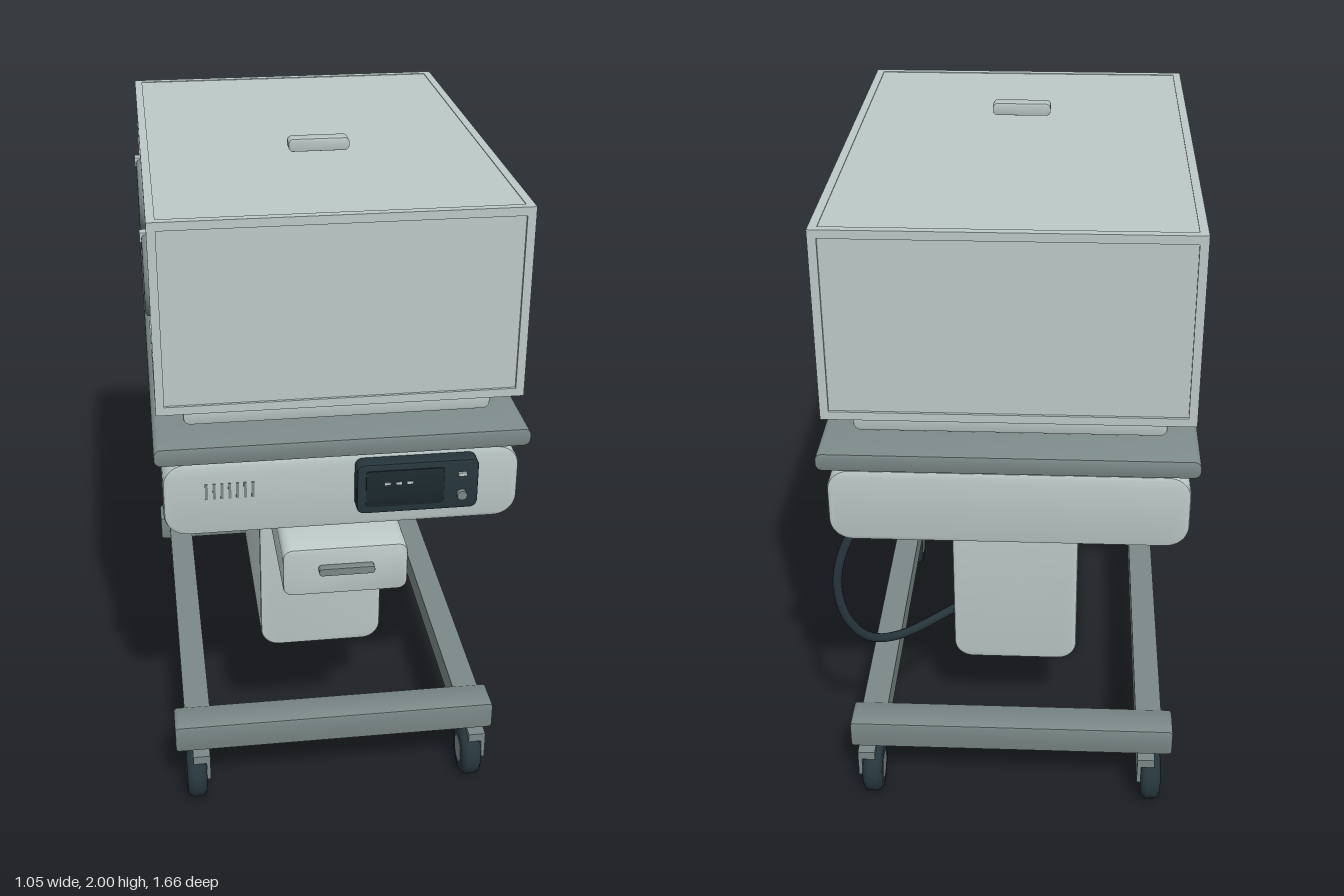
import * as THREE from 'three';
import { toCreasedNormals } from 'three/addons/utils/BufferGeometryUtils.js';

const mat = (name, color) => {
  const m = new THREE.MeshStandardMaterial({ color });
  m.name = name;
  return m;
};

export function createModel() {
  const root = new THREE.Group();
  root.name = 'incubator';
  const shell = mat('pale grey shell', 0xbcc9c7);
  const grey = mat('mid grey metal', 0x7b8988);
  const dark = mat('dark slate', 0x26363c);
  const screenDark = mat('screen black', 0x1c292e);

  const add = (name, geo, material, x = 0, y = 0, z = 0, parent = root) => {
    const mesh = new THREE.Mesh(geo, material);
    mesh.name = name;
    mesh.position.set(x, y, z);
    parent.add(mesh);
    return mesh;
  };

  // Box given by its min and max corners
  const box = (name, material, x0, x1, y0, y1, z0, z1, parent = root) =>
    add(name, new THREE.BoxGeometry(x1 - x0, y1 - y0, z1 - z0), material,
      (x0 + x1) / 2, (y0 + y1) / 2, (z0 + z1) / 2, parent);

  // Rounded rectangle in x and y, extruded along z with a slim bevel
  const slab = (name, material, x0, x1, y0, y1, z0, z1, r, b = 0.006, parent = root) => {
    const w = (x1 - x0) / 2 - b, h = (y1 - y0) / 2 - b;
    const q = Math.min(Math.max(r - b, 0.001), w * 0.99, h * 0.99);
    const s = new THREE.Shape();
    s.absarc(w - q, h - q, q, 0, Math.PI / 2);
    s.absarc(q - w, h - q, q, Math.PI / 2, Math.PI);
    s.absarc(q - w, q - h, q, Math.PI, Math.PI * 1.5);
    s.absarc(w - q, q - h, q, Math.PI * 1.5, Math.PI * 2);
    const geo = new THREE.ExtrudeGeometry(s, {
      depth: z1 - z0 - 2 * b, bevelThickness: b, bevelSize: b, bevelSegments: 2, curveSegments: 6,
    });
    geo.translate(0, 0, b);
    return add(name, toCreasedNormals(geo, 0.6), material, (x0 + x1) / 2, (y0 + y1) / 2, z0, parent);
  };

  // Hood: slightly recessed panels held in a slim edge frame
  const hood = new THREE.Group();
  hood.name = 'hood';
  root.add(hood);
  const X = 0.51, Y0 = 1.395, Y1 = 1.945, Z0 = -0.76, Z1 = 0.69, t = 0.024;
  box('hoodPanels', shell, -X + 0.008, X - 0.008, Y0 + 0.004, Y1 - 0.002, Z0 + 0.008, Z1 - 0.008, hood);
  for (const x of [-X, X - t]) {
    for (const z of [Z0, Z1 - t]) box('hoodPost', shell, x, x + t, Y0 + t, Y1 - t, z, z + t, hood);
    for (const y of [Y0, Y1 - t]) box('hoodSideRail', shell, x, x + t, y, y + t, Z0, Z1, hood);
  }
  for (const z of [Z0, Z1 - t]) {
    for (const y of [Y0, Y1 - t]) box('hoodEndRail', shell, -X + t, X - t, y, y + t, z, z + t, hood);
  }
  slab('hoodHandle', shell, -0.088, 0.088, 1.963, 2, 0.145, 0.188, 0.014, 0.002, hood);

  // Access ports with a small latch on each side
  for (const side of [-1, 1]) {
    for (const z of [0.32, -0.39]) {
      const ring = add('portRing', new THREE.TorusGeometry(0.109, 0.014, 10, 40), grey,
        side * 0.508, 1.665, z, hood);
      ring.rotation.y = Math.PI / 2;
      add('portLatch', new THREE.BoxGeometry(0.022, 0.028, 0.032), shell, side * 0.515, 1.777, z, hood);
    }
  }

  // Mattress deck, tray and main housing
  box('hoodSeal', shell, -0.42, 0.42, 1.38, 1.4, -0.7, 0.62);
  slab('mattressDeck', shell, -0.435, 0.43, 1.332, 1.386, -0.705, 0.633, 0.02);
  slab('tray', grey, -0.523, 0.52, 1.274, 1.326, -0.83, 0.76, 0.02, 0.004);
  slab('housing', shell, -0.503, 0.497, 1.04, 1.265, -0.812, 0.737, 0.065, 0.01);
  box('trayMount', grey, -0.4, 0.4, 1.255, 1.34, -0.68, 0.6);

  // Vent slots
  for (let i = 0; i < 7; i++) {
    const x = -0.383 + i * 0.0215;
    box('ventSlot', grey, x - 0.004, x + 0.004, 1.153, 1.2, 0.735, 0.74);
  }

  // Control panel
  const panel = new THREE.Group();
  panel.name = 'controlPanel';
  root.add(panel);
  slab('panelCase', dark, 0.03, 0.372, 1.1, 1.254, 0.73, 0.782, 0.022, 0.006, panel);
  slab('panelScreen', screenDark, 0.055, 0.275, 1.122, 1.234, 0.779, 0.785, 0.008, 0.001, panel);
  for (const x of [0.115, 0.147, 0.178]) {
    box('screenMark', shell, x - 0.008, x + 0.008, 1.191, 1.198, 0.783, 0.787, panel);
  }
  box('panelButton', shell, 0.313, 0.337, 1.206, 1.216, 0.78, 0.79, panel);
  const knob = add('panelKnob', new THREE.CylinderGeometry(0.014, 0.014, 0.016, 16), grey, 0.325, 1.147, 0.788, panel);
  knob.rotation.x = Math.PI / 2;

  // Column and drawer
  slab('column', shell, -0.2, 0.195, 0.312, 1.042, -0.397, 0.275, 0.06, 0.008);
  slab('drawer', shell, -0.18, 0.175, 0.86, 1.01, 0.377, 0.806, 0.028);
  slab('drawerHandle', grey, -0.08, 0.078, 0.934, 0.957, 0.8, 0.83, 0.009, 0.002);

  // Power cable
  const path = new THREE.CatmullRomCurve3([
    [0.42, 1.05, -0.668], [0.485, 0.92, -0.695], [0.508, 0.8, -0.697], [0.487, 0.67, -0.685],
    [0.43, 0.57, -0.64], [0.35, 0.515, -0.555], [0.19, 0.475, -0.35],
  ].map((p) => new THREE.Vector3(...p)));
  add('cable', new THREE.TubeGeometry(path, 48, 0.014, 10), dark);

  // Base frame
  for (const x of [-0.43, 0.43]) box('sideRail', grey, x - 0.04, x + 0.04, 0.208, 0.288, -0.64, 0.56);
  slab('frontRail', grey, -0.503, 0.497, 0.203, 0.292, 0.542, 0.648, 0.012, 0.004);
  slab('rearRail', grey, -0.503, 0.497, 0.203, 0.292, -0.72, -0.614, 0.012, 0.004);

  // Casters: rounded tyre, hub, crown and a single side arm
  const tyreProfile = [[0.04, -0.031], [0.066, -0.031], [0.078, -0.024], [0.083, -0.012],
    [0.083, 0.012], [0.078, 0.024], [0.066, 0.031], [0.04, 0.031]].map((p) => new THREE.Vector2(...p));
  const tyreGeo = toCreasedNormals(new THREE.LatheGeometry(tyreProfile, 32), 0.7);
  const hubGeo = new THREE.CylinderGeometry(0.044, 0.044, 0.064, 24);
  for (const x of [-0.436, 0.44]) {
    for (const z of [0.595, -0.667]) {
      const caster = new THREE.Group();
      caster.name = 'caster';
      caster.position.set(x, 0, z);
      root.add(caster);
      add('tyre', tyreGeo, dark, -0.005, 0.083, 0, caster).rotation.z = Math.PI / 2;
      add('hub', hubGeo, grey, -0.005, 0.083, 0, caster).rotation.z = Math.PI / 2;
      add('stem', new THREE.CylinderGeometry(0.02, 0.02, 0.04, 16), grey, 0, 0.19, 0, caster);
      box('crown', grey, -0.015, 0.038, 0.15, 0.178, -0.055, 0.055, caster);
      box('arm', grey, 0.026, 0.038, 0.088, 0.178, -0.055, 0.055, caster);
    }
  }
  return root;
}
